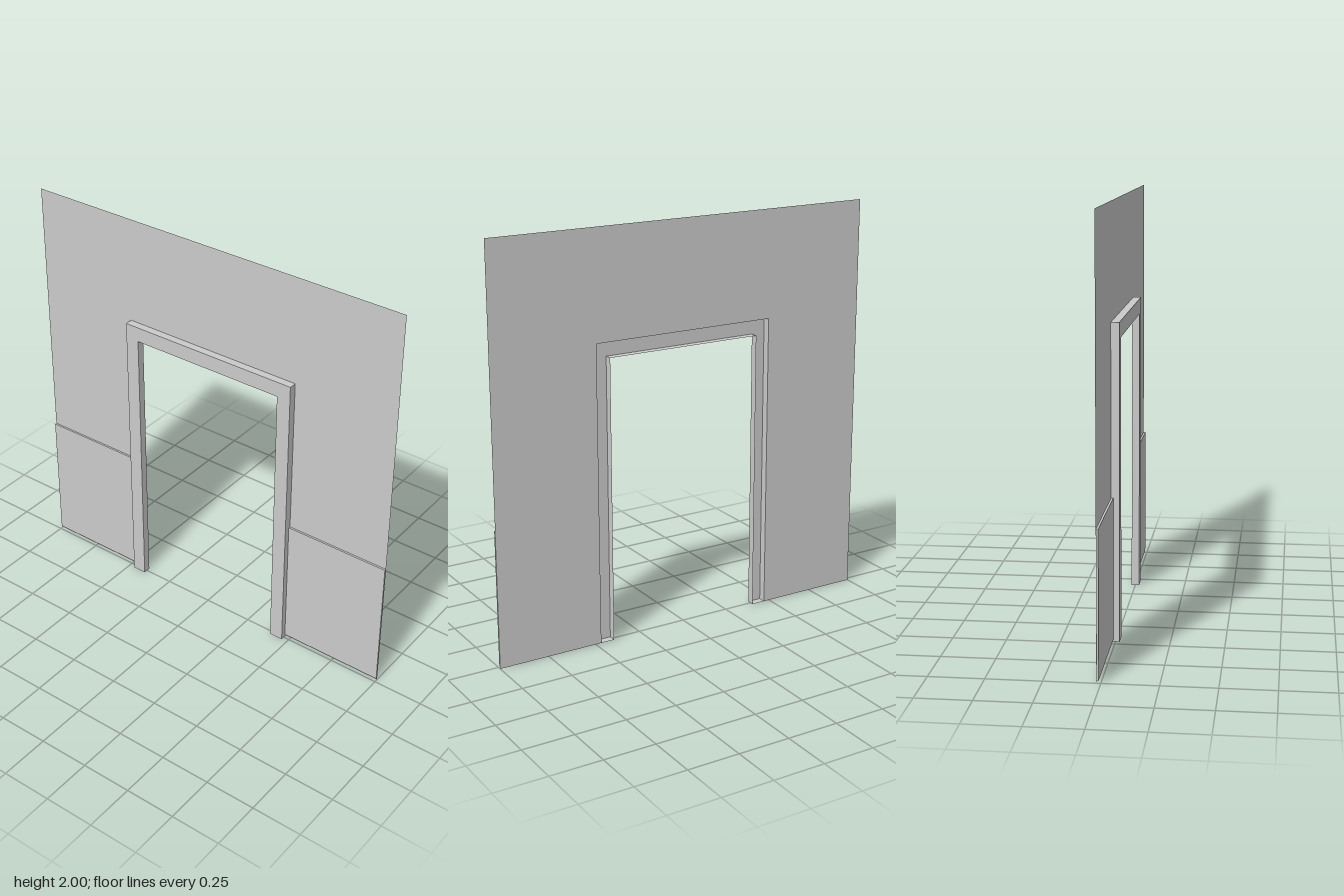
import * as THREE from 'three';

const BACK = -0.019, FRONT = 0.019, PANEL = -0.009;
const material = new THREE.MeshStandardMaterial({ color: 0xcccccc, side: THREE.DoubleSide, flatShading: true });

// Door-shaped outline: up the left side, over the top, down the right side
const arch = (halfWidth, top) => [[-halfWidth, 0], [-halfWidth, top], [halfWidth, top], [halfWidth, 0]];

// Flat sheet between an outer and an inner arch
function archSheet(outer, inner, z) {
  const points = [...outer, ...[...inner].reverse()].map(p => new THREE.Vector2(...p));
  return new THREE.ShapeGeometry(new THREE.Shape(points)).translate(0, 0, z);
}

// Strip that follows a path and spans the frame depth
function strip(path) {
  const positions = [];
  for (let i = 0; i < path.length - 1; i++) {
    const [a, b] = [path[i], path[i + 1]];
    positions.push(...a, BACK, ...b, BACK, ...b, FRONT, ...a, BACK, ...b, FRONT, ...a, FRONT);
  }
  const g = new THREE.BufferGeometry();
  g.setAttribute('position', new THREE.Float32BufferAttribute(positions, 3));
  g.computeVertexNormals();
  return g;
}

function add(parent, name, geometry) {
  const mesh = new THREE.Mesh(geometry, material);
  mesh.name = name;
  parent.add(mesh);
  return mesh;
}

export function createModel() {
  const model = new THREE.Group();
  model.name = 'wallWithDoorway';

  const outer = arch(0.47, 1.47);
  const inner = arch(0.4, 1.395);

  // Thin wall sheet, cut out around the door frame
  add(model, 'wall', archSheet(arch(1, 2), outer, BACK));

  // Hollow door frame, open at the back
  const frame = new THREE.Group();
  frame.name = 'doorFrame';
  model.add(frame);
  add(frame, 'frameFace', archSheet(outer, inner, FRONT));
  add(frame, 'frameOuterSide', strip(outer));
  add(frame, 'frameInnerSide', strip(inner));

  for (const s of [-1, 1]) {
    const side = s > 0 ? 'left' : 'right';
    // Closed foot of each jamb
    add(frame, side + 'JambFoot', strip([[s * 0.4, 0], [s * 0.47, 0]]));
    // Raised lower panel beside the door
    const depth = PANEL - BACK - 0.0005;
    const panel = add(model, side + 'LowerPanel', new THREE.BoxGeometry(0.53, 0.663, depth));
    panel.position.set(s * 0.735, 0.012 + 0.663 / 2, PANEL - depth / 2);
  }
  return model;
}
